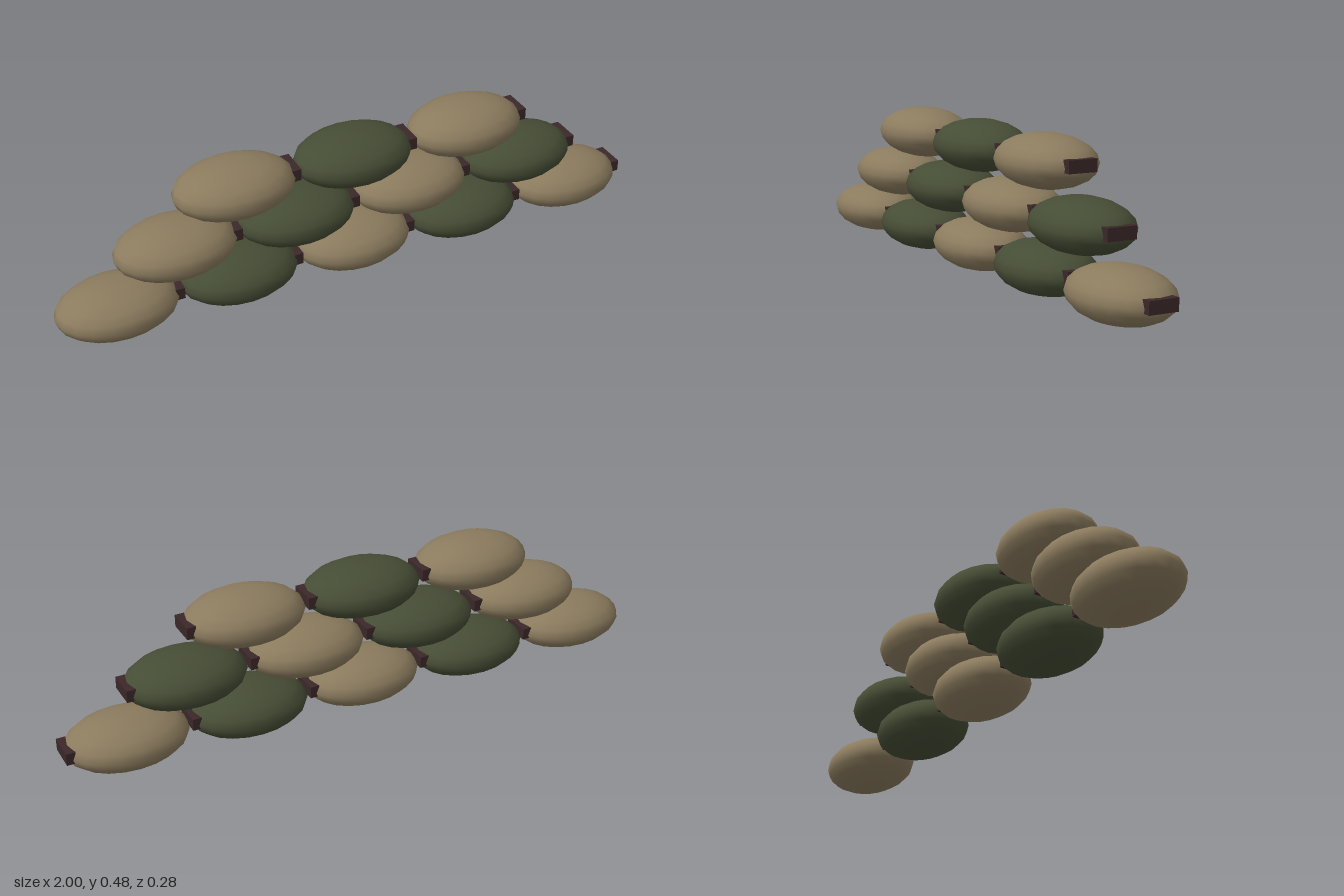
import * as THREE from 'three';

export function createModel() {
  const model = new THREE.Group();
  model.name = 'sandbagWall';

  const material = (name, color) => {
    const m = new THREE.MeshStandardMaterial({ color });
    m.name = name;
    return m;
  };
  const tan = material('tan burlap', 0x8b7b5e);
  const green = material('olive burlap', 0x464d35);
  const brown = material('dark brown tie', 0x3b2729);

  // Shared shapes: a flattened ellipsoid sack and its boxy tied end
  const sackShape = new THREE.SphereGeometry(1, 20, 10).scale(0.1965, 0.083, 0.14);
  const tieShape = new THREE.BoxGeometry(0.03, 0.039, 0.096);

  const spacing = 0.4;
  const rowHeight = 0.1595;

  // Three staggered rows of five, four and three bags in alternating colours
  [5, 4, 3].forEach((count, row) => {
    for (let i = 0; i < count; i++) {
      const bag = new THREE.Group();
      bag.name = `sandbagRow${row + 1}Number${i + 1}`;
      bag.position.set((i - (count - 1) / 2) * spacing, 0.0855 + row * rowHeight, 0);

      const sack = new THREE.Mesh(sackShape, i % 2 ? green : tan);
      sack.name = 'sack';
      sack.position.x = -0.0035;

      const tie = new THREE.Mesh(tieShape, brown);
      tie.name = 'tie';
      tie.position.set(0.185, 0.008, 0);

      bag.add(sack, tie);
      model.add(bag);
    }
  });

  return model;
}
